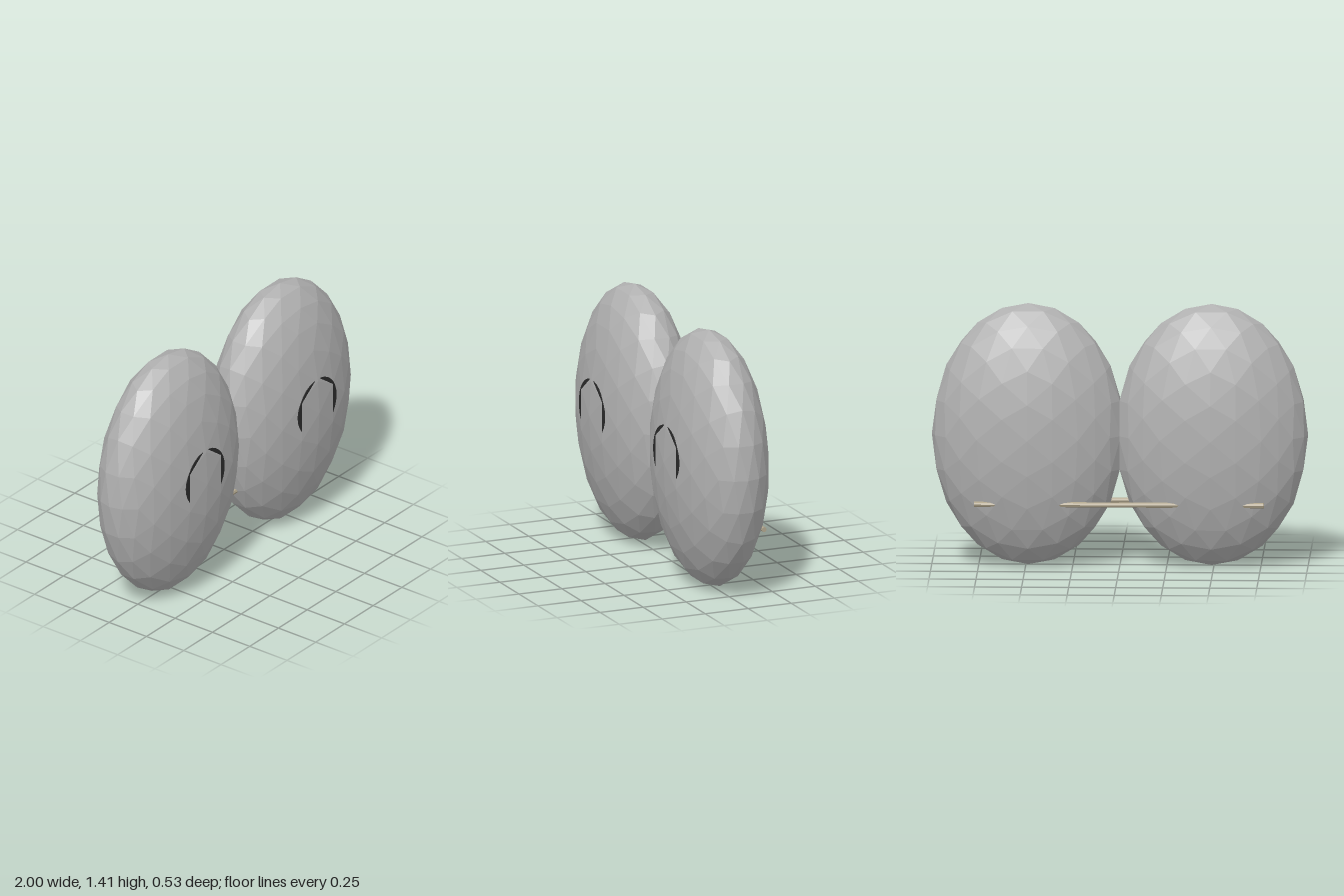
import * as THREE from 'three';

const grey = new THREE.MeshStandardMaterial({ name: 'shell grey', color: 0xb0b0b0, flatShading: true });
const beige = new THREE.MeshStandardMaterial({ name: 'rod beige', color: 0xb0a58c, flatShading: true });
const dark = new THREE.MeshStandardMaterial({ name: 'disc dark', color: 0x2a2a2a });

const CENTRE = { x: 0.487, y: 0.703 };
const RADII = [0.513, 0.703, 0.265];

// Faceted sphere: every triangle is halved repeatedly and pushed back onto the sphere
function icosphere(levels) {
  const p = new THREE.IcosahedronGeometry(1, 0).attributes.position;
  let points = Array.from({ length: p.count }, (_, i) => new THREE.Vector3().fromBufferAttribute(p, i));
  const mid = (a, b) => a.clone().add(b).normalize();
  for (let l = 0; l < levels; l++) {
    const next = [];
    for (let i = 0; i < points.length; i += 3) {
      const [a, b, c] = points.slice(i, i + 3);
      const ab = mid(a, b), bc = mid(b, c), ca = mid(c, a);
      next.push(a, ab, ca, ab, b, bc, ca, bc, c, ab, bc, ca);
    }
    points = next;
  }
  return new THREE.BufferGeometry().setFromPoints(points);
}

function addMesh(parent, name, geometry, material, x, y, z) {
  const mesh = new THREE.Mesh(geometry, material);
  mesh.name = name;
  mesh.position.set(x, y, z);
  parent.add(mesh);
}

export function createModel() {
  const model = new THREE.Group();
  model.name = 'twinShells';

  // Flattened egg-shaped shells
  const shell = icosphere(2).scale(...RADII);
  shell.computeVertexNormals();

  // Sunken discs whose side rims just break through the front of the shells
  const disc = new THREE.CylinderGeometry(0.166, 0.166, 0.02, 32).rotateX(Math.PI / 2);

  for (const [side, s] of [['left', 1], ['right', -1]]) {
    addMesh(model, side + 'Shell', shell, grey, s * CENTRE.x, CENTRE.y, 0);
    addMesh(model, side + 'Disc', disc, dark, s * CENTRE.x, 0.74, 0.242);
  }

  // Rods running sideways through both shells
  const rod = new THREE.CylinderGeometry(0.014, 0.014, 1.54, 8).rotateZ(Math.PI / 2);
  addMesh(model, 'backRod', rod, beige, 0, 0.353, -0.195);
  addMesh(model, 'middleRod', rod, beige, 0, 0.342, 0.03);

  return model;
}
